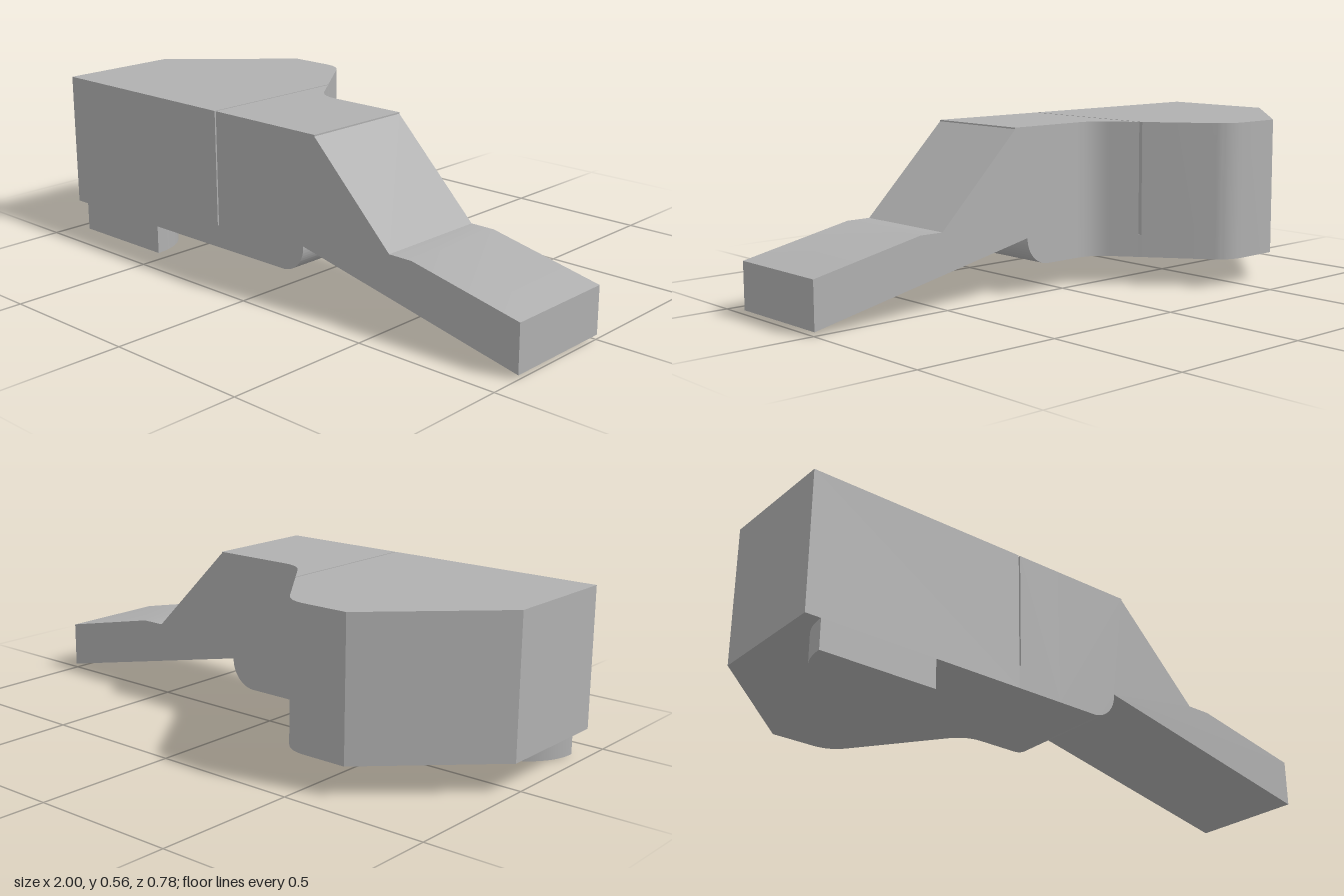
import * as THREE from 'three';
import { toCreasedNormals } from 'three/addons/utils/BufferGeometryUtils.js';

const TOP = 0.565, BOTTOM = 0.098, FRONT = 0.39, BACK = -0.005;
const SLOT_LEFT = -0.236, SLOT_RIGHT = -0.23, SLOT_FLOOR = 0.175;

export function createModel() {
  const group = new THREE.Group();
  const grey = new THREE.MeshStandardMaterial({ color: 0xb0b0b0 });

  const extrude = (shape, depth) => new THREE.ExtrudeGeometry(shape, {
    depth, bevelEnabled: false, curveSegments: 24,
  });
  const add = (name, geometry) => {
    const mesh = new THREE.Mesh(toCreasedNormals(geometry, 0.4), grey);
    mesh.name = name;
    group.add(mesh);
  };
  // Plan outline of [x, z] points raised from y0 to y1
  const addPlan = (name, points, y0, y1) => {
    const shape = new THREE.Shape(points.map(([x, z]) => new THREE.Vector2(x, -z)));
    add(name, extrude(shape, y1 - y0).rotateX(-Math.PI / 2).translate(0, y0, 0));
  };

  // S-shaped rear wall: two rounded bends joined by a straight flank
  const v = (x, z) => new THREE.Vector2(x, z);
  const bends = [
    new THREE.QuadraticBezierCurve(v(-0.48, -0.39), v(-0.418, -0.39), v(-0.381, -0.34)),
    new THREE.QuadraticBezierCurve(v(-0.169, -0.055), v(-0.132, BACK), v(-0.07, BACK)),
  ];
  const [outer, inner] = bends.map((c) => c.getPoints(12).map((p) => [p.x, p.y]));
  const flankZ = (x) => -0.1975 + (x + 0.275) * 1.345;

  // Main body up to the slot
  addPlan('body', [
    [-1, FRONT], [-1, -0.035], [-0.635, -0.39], ...outer,
    [SLOT_LEFT, flankZ(SLOT_LEFT)], [SLOT_LEFT, FRONT],
  ], BOTTOM, TOP);

  // Floor of the thin slot
  addPlan('slotFloor', [
    [SLOT_LEFT, FRONT], [SLOT_LEFT, flankZ(SLOT_LEFT)],
    [SLOT_RIGHT, flankZ(SLOT_RIGHT)], [SLOT_RIGHT, FRONT],
  ], BOTTOM, SLOT_FLOOR);

  // Curved neck beyond the slot
  addPlan('neck', [
    [SLOT_RIGHT, FRONT], [SLOT_RIGHT, flankZ(SLOT_RIGHT)], ...inner, [-0.07, FRONT],
  ], BOTTOM, TOP);

  // Sloping arm with a rounded heel underneath
  const profile = new THREE.Shape();
  profile.moveTo(-0.07, BOTTOM);
  profile.lineTo(0.07, BOTTOM);
  profile.absarc(0.07, BOTTOM + 0.093, 0.093, -Math.PI / 2, 0, false);
  [[0.163, 0.194], [1, 0.014], [1, 0.172], [0.607, 0.255], [0.52, 0.255],
    [0.215, 0.56], [0.215, TOP], [-0.07, TOP]].forEach(([x, y]) => profile.lineTo(x, y));
  add('arm', extrude(profile, FRONT - BACK).translate(0, 0, BACK));

  // Half-round foot, flush with the front face
  const halfDisc = new THREE.Shape();
  halfDisc.absarc(-0.75, -FRONT, 0.198, 0, Math.PI, false);
  add('foot', extrude(halfDisc, BOTTOM).rotateX(-Math.PI / 2));

  return group;
}
